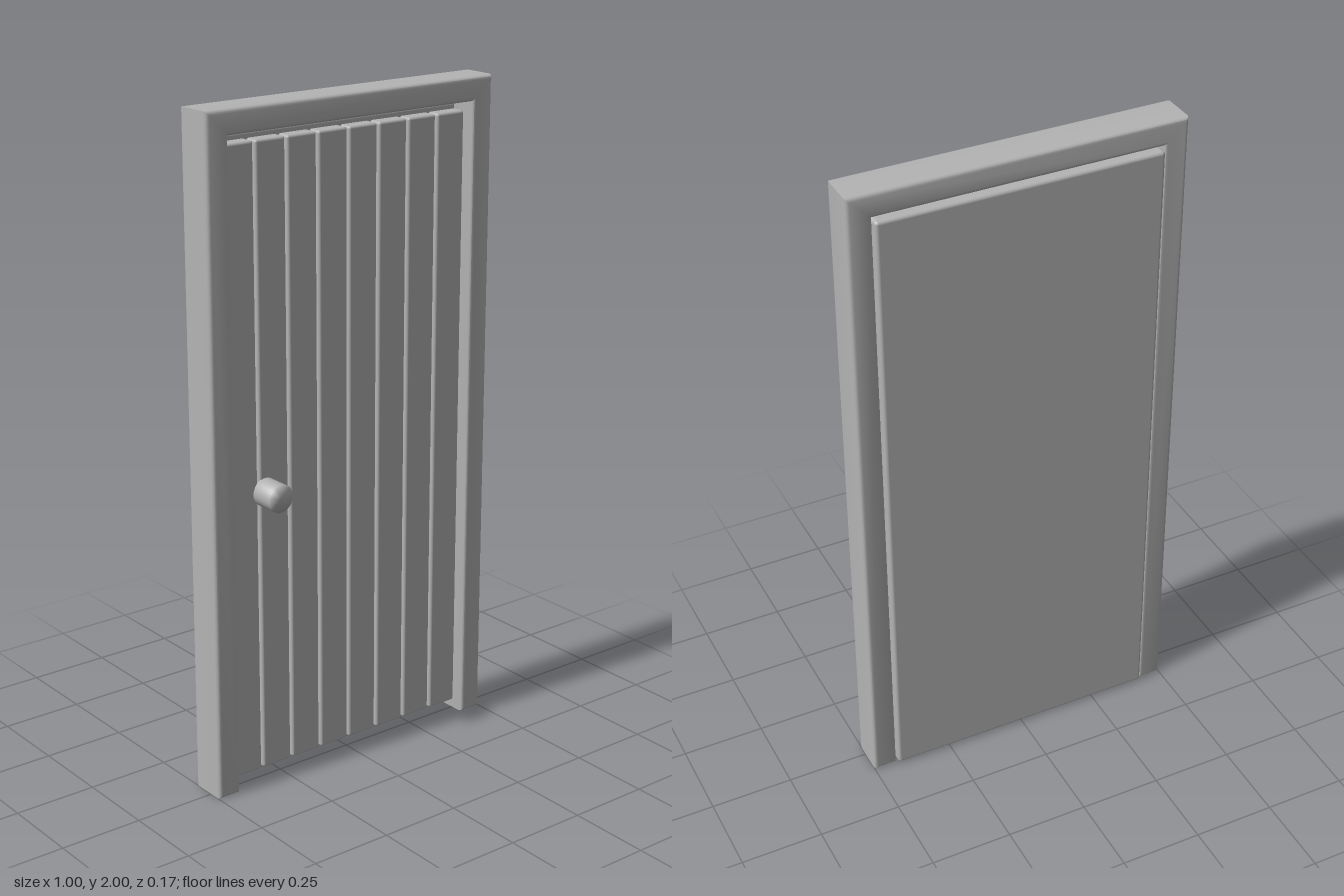
import * as THREE from 'three';
import { mergeVertices, toCreasedNormals } from 'three/addons/utils/BufferGeometryUtils.js';
import { RoundedBoxGeometry } from 'three/addons/geometries/RoundedBoxGeometry.js';

const grey = new THREE.MeshStandardMaterial({ color: 0xb4b4b4 });
grey.name = 'plain grey';

function part(name, geometry, parent) {
  const mesh = new THREE.Mesh(geometry, grey);
  mesh.name = name;
  parent.add(mesh);
  return mesh;
}

// Rounded box given by its lower and upper corners
function block(name, [x0, y0, z0], [x1, y1, z1], radius, parent) {
  const mesh = part(name, new RoundedBoxGeometry(x1 - x0, y1 - y0, z1 - z0, 3, radius), parent);
  mesh.position.set((x0 + x1) / 2, (y0 + y1) / 2, (z0 + z1) / 2);
  return mesh;
}

export function createModel() {
  const door = new THREE.Group();
  door.name = 'door';

  // Frame: two posts and a lintel in one softly bevelled piece
  const outline = new THREE.Shape([
    [-0.5, 0], [-0.427, 0], [-0.427, 1.928], [0.427, 1.928],
    [0.427, 0], [0.5, 0], [0.5, 2], [-0.5, 2],
  ].map(([x, y]) => new THREE.Vector2(x, y)));
  const bevel = 0.012;
  const frame = new THREE.ExtrudeGeometry(outline, {
    depth: 0.12 - 2 * bevel, bevelThickness: bevel, bevelSize: bevel,
    bevelOffset: -bevel, bevelSegments: 3,
  });
  frame.translate(0, 0, -0.075 + bevel);
  part('frame', toCreasedNormals(frame, 0.8), door);

  // Backing panel, standing slightly proud of the frame at the back
  block('backPanel', [-0.425, 0.006, -0.087], [0.425, 1.92, -0.03], 0.01, door);

  // Eight vertical planks on the front
  const planks = new THREE.Group();
  planks.name = 'planks';
  door.add(planks);
  const count = 8, pitch = 0.855 / count, gap = 0.006;
  for (let i = 0; i < count; i++) {
    const x = -0.4275 + i * pitch;
    block('plank', [x + gap / 2, 0.03, -0.04], [x + pitch - gap / 2, 1.9, 0.01], 0.008, planks);
  }

  // Round knob, a short cylinder shaded smoothly over its rim
  let knob = new THREE.CylinderGeometry(0.042, 0.042, 0.075, 32);
  knob.deleteAttribute('normal');
  knob.deleteAttribute('uv');
  knob = mergeVertices(knob);
  knob.computeVertexNormals();
  knob.rotateX(Math.PI / 2);
  part('knob', knob, door).position.set(-0.298, 0.895, 0.0455);

  return door;
}
